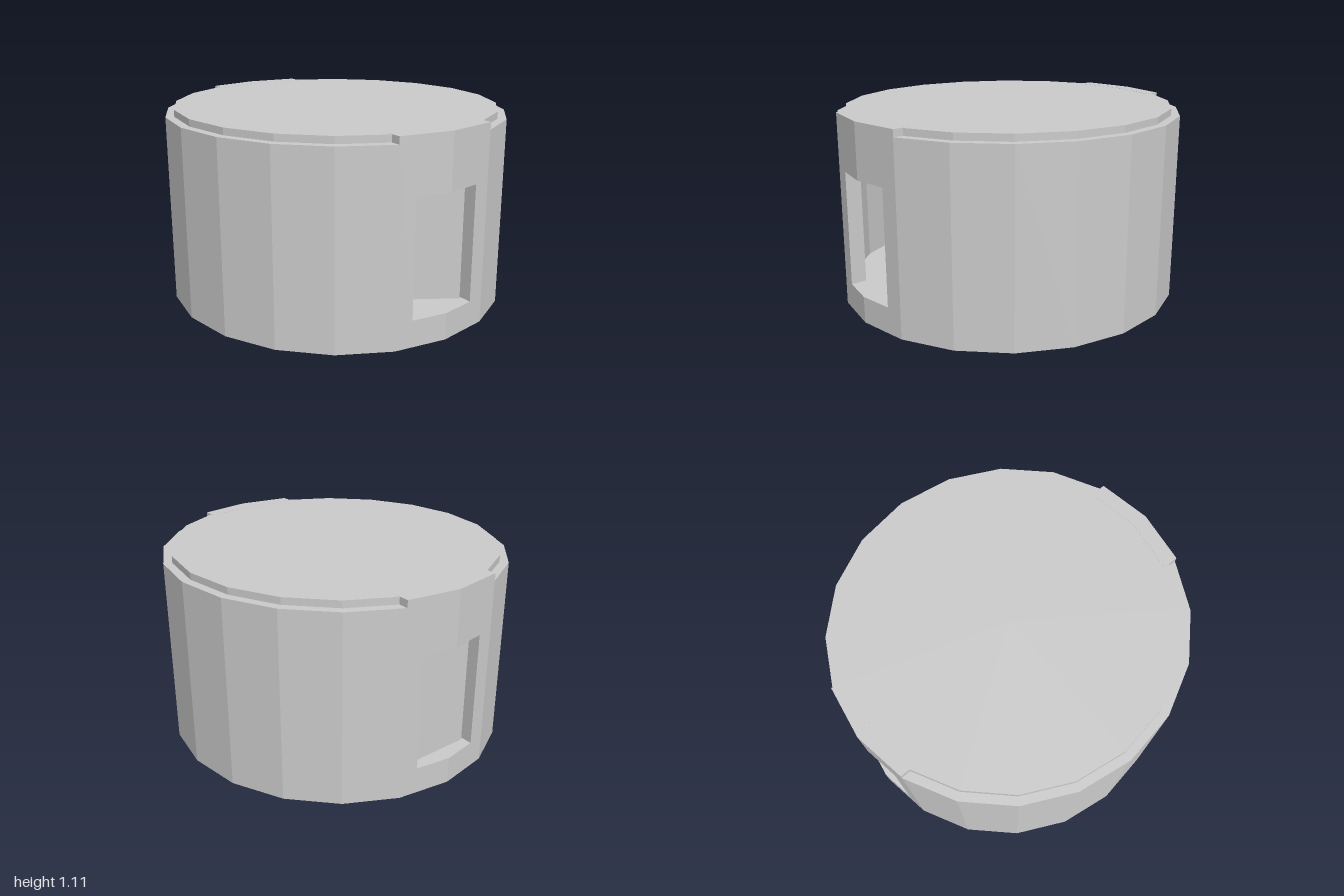
import * as THREE from 'three';

const SIDES = 20, SX = 0.97;           // facets, slight squash in x
const WALL_H = 1.07, TOP = 1.11, INNER = 0.95;

export function createModel() {
  const group = new THREE.Group();
  const mat = new THREE.MeshStandardMaterial({ color: 0xcccccc, flatShading: true });
  const add = (name, geo, parent = group) => {
    const mesh = new THREE.Mesh(geo, mat);
    mesh.name = name;
    parent.add(mesh);
    return mesh;
  };
  const corner = (k, r) => {
    const a = (k / SIDES) * Math.PI * 2;
    return new THREE.Vector2(Math.sin(a) * r * SX, Math.cos(a) * r);
  };

  // Faceted side walls between the two door panels
  for (const [name, start] of [['leftWall', 1], ['rightWall', 11]]) {
    const pts = [];
    for (let k = 0; k <= 8; k++) pts.push(corner(start + k, 1));
    for (let k = 8; k >= 0; k--) pts.push(corner(start + k, INNER));
    const geo = new THREE.ExtrudeGeometry(new THREE.Shape(pts), { depth: WALL_H, bevelEnabled: false });
    geo.rotateX(-Math.PI / 2);
    add(name, geo);
  }

  // Floor and roof discs set inside the walls
  const disc = (name, y0, y1) => {
    const geo = new THREE.CylinderGeometry(INNER, INNER, y1 - y0, SIDES);
    geo.scale(SX, 1, 1);
    geo.translate(0, (y0 + y1) / 2, 0);
    add(name, geo);
  };
  disc('floor', 0, 0.08);
  disc('roof', 1.04, TOP - 0.001);

  // Door panels: two C-shaped halves each, sheared to follow the facets
  const edge = corner(1, 1), slope = (1 - edge.y) / edge.x, depth = 0.09;
  const outline = [[0, 0], [edge.x, 0], [edge.x, TOP], [0, TOP], [0, 0.8], [0.2, 0.8], [0.2, 0.15], [0, 0.15]];
  for (const [name, turn] of [['frontDoorPanel', 0], ['backDoorPanel', Math.PI]]) {
    const panel = new THREE.Group();
    panel.name = name;
    panel.rotation.y = turn;
    for (const side of [1, -1]) {
      const shape = new THREE.Shape(outline.map(([x, y]) => new THREE.Vector2(x * side, y)));
      const geo = new THREE.ExtrudeGeometry(shape, { depth, bevelEnabled: false });
      const p = geo.attributes.position;
      for (let i = 0; i < p.count; i++) p.setZ(i, p.getZ(i) + 1 - depth - Math.abs(p.getX(i)) * slope);
      geo.computeVertexNormals();
      add(name + (side > 0 ? 'HalfA' : 'HalfB'), geo, panel);
    }
    group.add(panel);
  }

  // Doors: the front one swings inward on its hinge, the back one is shut
  const door = (name, x, z, angle) => {
    const geo = new THREE.BoxGeometry(0.38, 0.64, 0.03);
    geo.translate(-0.19, 0.475, 0);
    const mesh = add(name, geo);
    mesh.position.set(x, 0, z);
    mesh.rotation.y = angle;
  };
  door('frontDoor', 0.185, 0.9, -0.56);
  door('backDoor', 0.2, -0.9, 0);

  return group;
}
